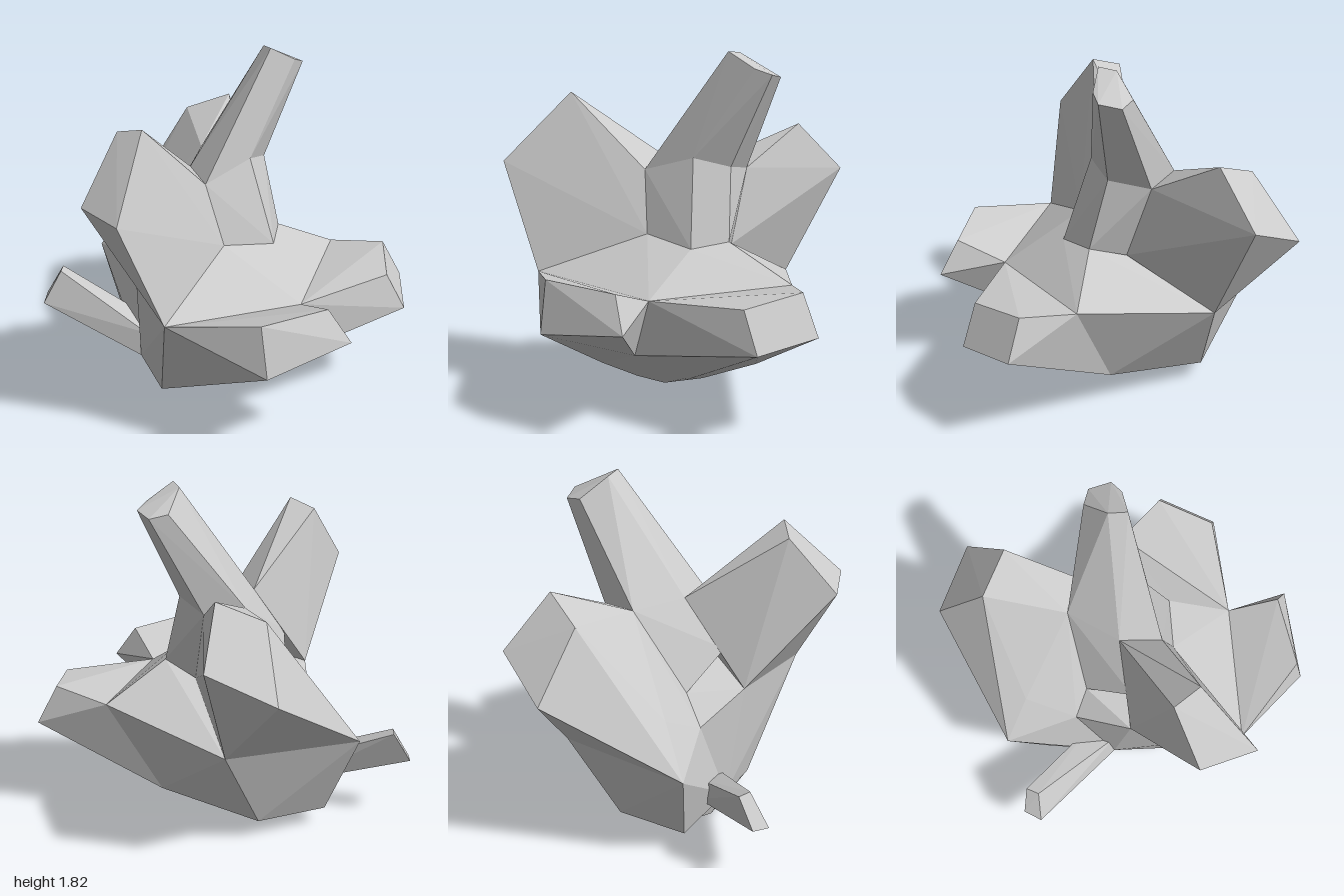
import * as THREE from 'three';
import { ConvexGeometry } from 'three/addons/geometries/ConvexGeometry.js';

const v = (x, y, z) => new THREE.Vector3(x, y, z);

// Corners shared between neighbouring chunks
const J = {
  frontLow: v(-0.10, 0.68, 0.79), frontFoot: v(-0.22, 0.09, 0.42),
  frontSaddle: v(0.08, 0.88, 0.25), frontNotch: v(-0.02, 1.20, 0.23),
  sideNotch: v(-0.14, 1.22, 0.05), sideRidge: v(-0.28, 0.95, 0.21),
  valley: v(-0.33, 0.78, -0.04), valleyEdge: v(-0.46, 0.64, -0.03),
  sideCorner: v(-0.39, 0.75, 0.27), shoulderFront: v(0.31, 0.84, 0.09),
  shoulderBack: v(0.30, 0.86, -0.12), leftFront: v(0.50, 0.65, 0.37),
  leftUnder: v(0.42, 0.35, 0.42), leftBack: v(0.56, 0.68, -0.36),
  leftFoot: v(0.29, 0.18, -0.28), backNotch: v(-0.15, 1.22, -0.25),
  backSaddle: v(0.05, 1.19, -0.31), neckLow: v(0.12, 0.80, -0.20),
  backLow: v(-0.12, 0.56, -0.62), backCorner: v(-0.75, 0.56, -0.29),
  neckFront: v(0.17, 1.28, 0.03), neckBack: v(0.21, 1.23, -0.16),
  twigRoot: v(-0.40, 0.13, 0.17), twigTop: v(-0.37, 0.26, 0.15),
  footSide: v(-0.57, 0.10, -0.18), footBack: v(-0.25, 0.10, -0.39),
  soleSide: v(-0.37, 0, -0.05), soleBack: v(-0.20, 0, -0.15),
};

export function createModel() {
  const group = new THREE.Group();
  const material = new THREE.MeshStandardMaterial({ color: 0xcccccc, flatShading: true });

  // One faceted chunk: shared corners plus its own end corners
  const chunk = (name, shared, ends = []) => {
    const corners = shared.split(' ').map((n) => J[n]);
    const mesh = new THREE.Mesh(new ConvexGeometry([...corners, ...ends]), material);
    mesh.name = name;
    group.add(mesh);
  };

  // Central body standing on a small flat foot
  chunk('body',
    'frontLow frontFoot frontSaddle valley valleyEdge sideCorner shoulderFront shoulderBack leftFront leftUnder leftBack leftFoot backLow twigRoot twigTop footBack soleSide soleBack',
    [v(-0.37, 0, 0.10), v(-0.20, 0, 0.23), v(-0.05, 0, 0.12), v(-0.05, 0, -0.10)]);

  // Rear flank below the back branch
  chunk('rearFlank',
    'backCorner backLow valley valleyEdge twigRoot footSide footBack soleSide soleBack');

  // Neck under the tall branch
  chunk('neck',
    'frontSaddle frontNotch sideNotch sideRidge valley shoulderFront shoulderBack backNotch backSaddle neckFront neckBack neckLow');

  // Tall tapering branch
  chunk('tallBranch', 'frontNotch sideNotch backNotch backSaddle neckFront neckBack', [
    v(0.24, 1.82, -0.13), v(0.19, 1.81, -0.21), v(0.21, 1.71, -0.36),
    v(0.30, 1.69, -0.39), v(0.38, 1.71, -0.31), v(0.35, 1.74, -0.23),
  ]);

  // Thick branch rising to the front
  chunk('frontBranch',
    'frontLow frontSaddle frontNotch sideNotch sideRidge sideCorner',
    [v(-0.51, 1.24, 0.73), v(-0.39, 1.55, 0.50), v(-0.25, 1.59, 0.56), v(-0.28, 1.24, 0.92)]);

  // Thick branch rising to the back
  chunk('backBranch',
    'backCorner backLow backNotch backSaddle valley valleyEdge neckLow',
    [v(-0.55, 0.80, -0.28),
      v(-0.08, 1.39, -0.66), v(-0.32, 1.30, -0.64), v(-0.42, 0.98, -0.89), v(-0.08, 1.13, -0.92)]);

  // Low branch at the front left
  chunk('lowFrontBranch',
    'frontLow frontFoot leftFront leftUnder',
    [v(0.38, 0.77, 0.85), v(0.66, 0.75, 0.58), v(0.78, 0.58, 0.58), v(0.42, 0.51, 0.89)]);

  // Broad branch to the left
  chunk('leftBranch',
    'leftFront leftUnder leftBack leftFoot',
    [v(-0.05, 0, 0),
      v(0.90, 0.69, 0.03), v(1.00, 0.49, 0.00), v(0.95, 0.53, -0.33), v(0.85, 0.73, -0.29)]);

  // Thin twig to the right
  chunk('rightTwig', 'twigRoot twigTop', [
    v(-0.99, 0.33, 0.06), v(-0.90, 0.51, 0.00), v(-0.91, 0.51, -0.07), v(-1.00, 0.35, -0.04),
    v(-0.38, 0.27, 0.00), v(-0.40, 0.15, 0.00),
  ]);

  return group;
}
